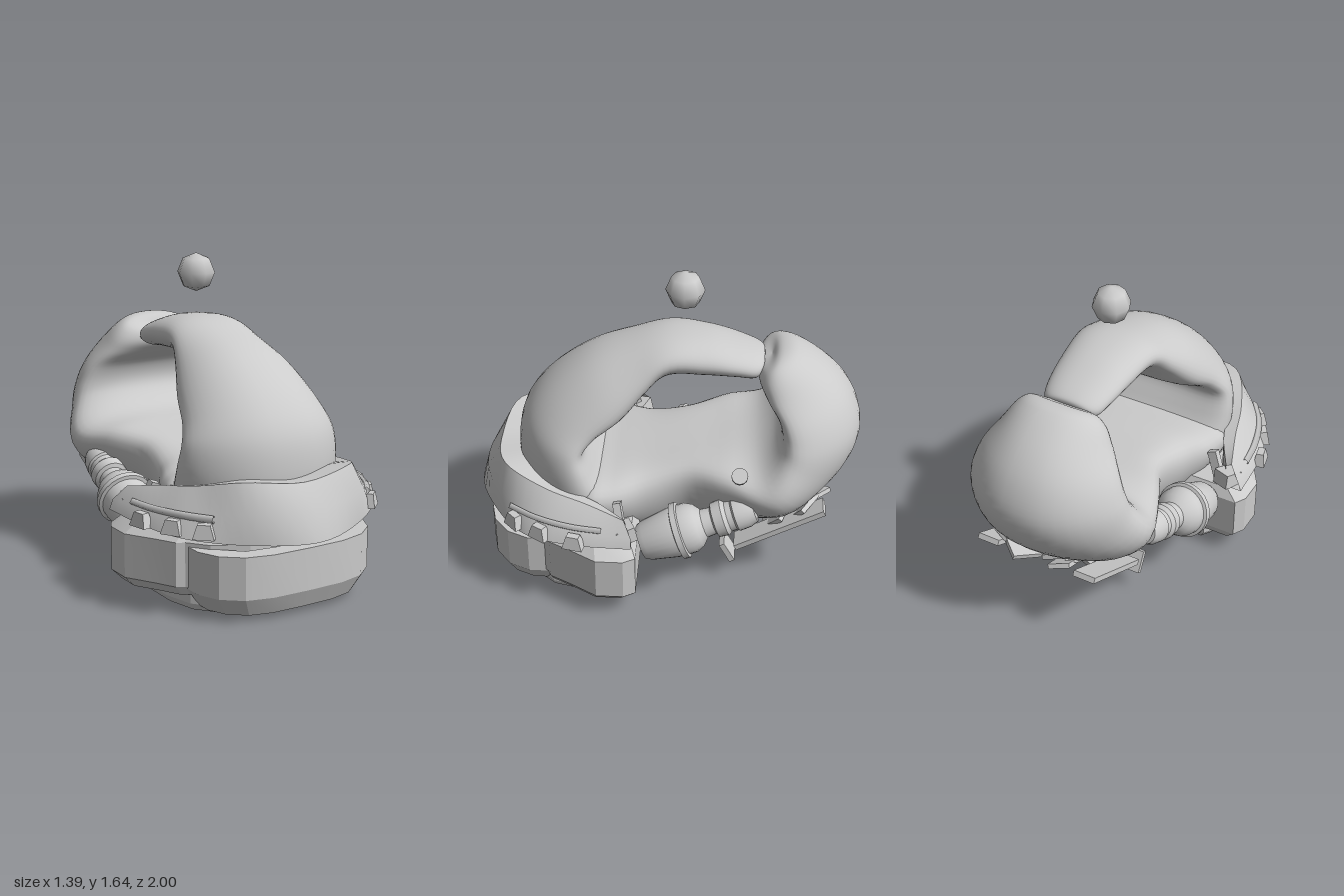
import * as THREE from 'three';
import { toCreasedNormals } from 'three/addons/utils/BufferGeometryUtils.js';

const grey = new THREE.MeshStandardMaterial({ color: 0xcccccc, side: THREE.DoubleSide });
const V = (x, y, z) => new THREE.Vector3(x, y, z);

export function createModel() {
  const model = new THREE.Group();
  const add = (name, geo, x = 0, y = 0, z = 0, rx = 0, ry = 0, rz = 0) => {
    const m = new THREE.Mesh(geo, grey);
    m.name = name;
    m.position.set(x, y, z);
    m.rotation.set(rx, ry, rz);
    model.add(m);
    return m;
  };

  // Surface through a grid of points; wrap closes each row into a loop
  const grid = (rows, wrap) => {
    const n = rows[0].length, idx = [];
    for (let i = 0; i < rows.length - 1; i++) {
      for (let j = 0; j < (wrap ? n : n - 1); j++) {
        const a = i * n + j, b = i * n + (j + 1) % n;
        idx.push(a, b, a + n, b, b + n, a + n);
      }
    }
    const g = new THREE.BufferGeometry().setFromPoints(rows.flat());
    g.setIndex(idx);
    g.computeVertexNormals();
    return g;
  };

  // Sweep of oval sections: [outer z, outer y, inner z, inner y, half width, bend]
  const sweep = (stations) => {
    const outer = new THREE.CatmullRomCurve3(stations.map(s => V(s[4], s[1], s[0])));
    const inner = new THREE.CatmullRomCurve3(stations.map(s => V(s[5], s[3], s[2])));
    const rows = [];
    for (let i = 0; i <= 64; i++) {
      const o = outer.getPoint(i / 64), n = inner.getPoint(i / 64);
      const w = o.x, bend = n.x;
      o.x = n.x = 0;
      const dir = n.clone().sub(o).normalize(), row = [];
      for (let j = 0; j < 40; j++) {
        const a = j / 40 * Math.PI * 2, s = Math.sin(a);
        const p = o.clone().lerp(n, (1 - Math.cos(a)) / 2).addScaledVector(dir, bend * s * s);
        p.x = w * Math.sign(s) * Math.pow(Math.abs(s), 0.9);
        row.push(p);
      }
      rows.push(row);
    }
    return grid(rows, true);
  };

  // Front dome that narrows into an arm arching backward
  add('frontDomeAndArm', sweep([
    [0.70, 0.32, 0.25, 0.32, 0.40, 0.05],
    [0.76, 0.50, 0.24, 0.50, 0.44, 0.08],
    [0.78, 0.68, 0.36, 0.68, 0.45, 0.11],
    [0.75, 0.86, 0.42, 0.80, 0.43, 0.12],
    [0.64, 1.02, 0.35, 0.87, 0.39, 0.10],
    [0.42, 1.19, 0.21, 0.94, 0.34, 0.07],
    [0.20, 1.28, 0.09, 1.07, 0.27, 0.04],
    [0.00, 1.33, 0.00, 1.13, 0.225, 0],
    [-0.20, 1.32, -0.20, 1.13, 0.20, 0],
    [-0.35, 1.28, -0.35, 1.12, 0.18, 0],
    [-0.46, 1.24, -0.45, 1.11, 0.15, 0],
    [-0.49, 1.22, -0.48, 1.14, 0.11, 0],
    [-0.49, 1.18, -0.49, 1.18, 0.0, 0]]));

  // Lower body: a shallow trough that runs back and curls up behind the arm
  add('rearBody', sweep([
    [0.52, 0.40, 0.52, 0.45, 0.02, 0],
    [0.42, 0.28, 0.40, 0.63, 0.45, 0.08],
    [0.26, 0.20, 0.26, 0.65, 0.44, 0.10],
    [0.08, 0.15, 0.10, 0.67, 0.365, 0.12],
    [-0.15, 0.20, -0.10, 0.70, 0.335, 0.14],
    [-0.42, 0.26, -0.30, 0.73, 0.43, 0.13],
    [-0.70, 0.40, -0.47, 0.77, 0.51, 0.05],
    [-0.93, 0.62, -0.57, 0.85, 0.45, 0.10],
    [-1.00, 0.82, -0.59, 0.91, 0.415, 0.12],
    [-0.95, 1.00, -0.57, 0.99, 0.37, 0.11],
    [-0.83, 1.15, -0.50, 1.07, 0.30, 0.08],
    [-0.66, 1.26, -0.46, 1.13, 0.235, 0.03],
    [-0.58, 1.26, -0.47, 1.18, 0.17, 0],
    [-0.53, 1.21, -0.53, 1.21, 0, 0]]));

  // Collar hood: mirrored rows, each running from centre front to the rear end
  const collarRows = [
    [[0, 0.40, 0.84], [0.3, 0.41, 0.76], [0.5, 0.42, 0.58], [0.57, 0.43, 0.4], [0.6, 0.44, 0.15]],
    [[0, 0.39, 1.0], [0.34, 0.40, 0.87], [0.56, 0.42, 0.69], [0.64, 0.43, 0.45], [0.67, 0.44, 0.15]],
    [[0, 0.54, 0.96], [0.33, 0.55, 0.87], [0.52, 0.53, 0.66], [0.61, 0.50, 0.45], [0.65, 0.49, 0.15]],
    [[0, 0.66, 0.88], [0.31, 0.69, 0.82], [0.45, 0.64, 0.6], [0.52, 0.60, 0.38], [0.59, 0.56, 0.19]],
    [[0, 0.65, 0.78], [0.25, 0.67, 0.72], [0.39, 0.62, 0.54], [0.47, 0.58, 0.34], [0.56, 0.54, 0.19]],
    [[0, 0.42, 0.76], [0.25, 0.42, 0.70], [0.40, 0.42, 0.5], [0.48, 0.42, 0.32], [0.58, 0.43, 0.16]]];
  const collar = collarRows.map(r => {
    const half = r.map(p => V(...p));
    const other = half.slice(1).map(p => V(-p.x, p.y, p.z)).reverse();
    return new THREE.CatmullRomCurve3([...other, ...half]).getPoints(40);
  });
  add('collarHood', toCreasedNormals(grid(collar), 0.6));

  // Flat slabs cut from a mirrored plan of [x, z] points; the chosen end can taper
  const plan = (half) => new THREE.Shape([...half,
    ...half.filter(p => p[0] > 0).map(p => [-p[0], p[1]]).reverse()].map(p => new THREE.Vector2(...p)));
  const slab = (name, shape, y0, y1, taperY = y0, taper = 1, cz = 0.45) => {
    const g = new THREE.ExtrudeGeometry(shape, { depth: y1 - y0, bevelEnabled: false, curveSegments: 24 });
    g.rotateX(Math.PI / 2).translate(0, y1, 0);
    const p = g.attributes.position;
    for (let i = 0; i < p.count; i++) {
      if (Math.abs(p.getY(i) - taperY) < 0.001) {
        p.setX(i, p.getX(i) * taper);
        p.setZ(i, cz + (p.getZ(i) - cz) * taper);
      }
    }
    g.computeVertexNormals();
    add(name, toCreasedNormals(g, 0.35));
  };
  const ringPlan = (half, rx, rz) => {
    const s = plan(half), hole = new THREE.Path();
    hole.absellipse(0, 0.46, rx, rz, 0, Math.PI * 2);
    s.holes.push(hole);
    return s;
  };

  // Faceted base with side blocks, chamfered above and below
  const base = [[0, 0.82], [0.25, 0.79], [0.42, 0.7], [0.5, 0.6], [0.54, 0.58], [0.60, 0.47],
    [0.685, 0.33], [0.685, 0.19], [0.65, 0.13], [0, 0.13]];
  const baseRing = ringPlan(base, 0.43, 0.29);
  slab('baseBottomChamfer', baseRing, 0.09, 0.14, 0.09, 0.93);
  slab('baseRing', baseRing, 0.14, 0.365);
  slab('baseTopChamfer', baseRing, 0.365, 0.42, 0.42, 0.9);
  slab('neckFloor', plan([[0, 0.77], [0.3, 0.7], [0.46, 0.45], [0.3, 0.16], [0, 0.15]]), 0.2, 0.25);

  // Rounded bottom plate around the neck opening
  const foot = [[0, 0.8], [0.2, 0.775], [0.36, 0.7], [0.46, 0.58], [0.5, 0.42], [0.5, 0.22], [0.46, 0.16], [0, 0.15]];
  const footRing = ringPlan(foot, 0.42, 0.28);
  slab('bottomPlate', footRing, 0.04, 0.10);
  slab('bottomPlateEdge', footRing, 0.005, 0.04, 0.005, 0.96);

  // Thin front bumper with its lower chamfer
  const bumper = [[0, 0.93], [0.2, 0.925], [0.34, 0.89], [0.44, 0.81], [0.49, 0.7],
    [0.49, 0.6], [0.43, 0.6], [0.4, 0.71], [0.29, 0.81], [0, 0.85]];
  slab('frontBumper', plan(bumper), 0.13, 0.345);
  slab('frontBumperChamfer', plan(bumper), 0.035, 0.13, 0.035, 0.87, 0.6);

  // Louvres under the body
  for (let i = 0; i < 6; i++) {
    add('louvre', new THREE.BoxGeometry(0.46, 0.06, 0.03), 0, 0.17 + i * 0.015, 0.06 - i * 0.065, 0.5);
  }

  // Canister outline, from the blunt front end to the rear neck
  const canister = toCreasedNormals(new THREE.LatheGeometry([[0, 0], [0.09, 0], [0.105, 0.03], [0.13, 0.17],
    [0.13, 0.19], [0.148, 0.195], [0.148, 0.225], [0.132, 0.23], [0.13, 0.27], [0.11, 0.31], [0.075, 0.34],
    [0.07, 0.39], [0.09, 0.4], [0.095, 0.45], [0.08, 0.47], [0.08, 0.5], [0.09, 0.51], [0.085, 0.57],
    [0.07, 0.61], [0, 0.62]].map(p => new THREE.Vector2(...p)), 24), 0.6);

  for (const s of [1, -1]) {
    // Canister slanting up toward the rear
    const c = add('canister', canister, s * 0.475, 0.335, 0.11);
    c.quaternion.setFromUnitVectors(V(0, 1, 0), V(s * -0.06, 0.2, -0.58).normalize());

    // Row of tapered clips under a rail along the collar edge
    for (const [x, z, a] of [[0.49, 0.76, 0.75], [0.58, 0.62, 1.0], [0.65, 0.44, 1.35]]) {
      const clip = new THREE.CylinderGeometry(0.045, 0.075, 0.07, 4).rotateY(Math.PI / 4).scale(1, 1, 0.6);
      add('collarClip', clip.toNonIndexed(), s * x, 0.465, z, 0, s * a).geometry.computeVertexNormals();
    }
    add('collarRail', new THREE.TubeGeometry(new THREE.CatmullRomCurve3([V(s * 0.45, 0.52, 0.78),
      V(s * 0.54, 0.52, 0.64), V(s * 0.60, 0.515, 0.46), V(s * 0.62, 0.51, 0.3)]), 12, 0.02, 4));

    // Brackets at the rear ends of the collar
    add('collarBracket', new THREE.BoxGeometry(0.1, 0.08, 0.1), s * 0.57, 0.47, 0.19, 0.2, s * 0.4);
    add('collarBracket', new THREE.BoxGeometry(0.05, 0.16, 0.04), s * 0.49, 0.5, 0.22, 0.2, 0, s * 0.4);

    // Hose along the underside
    add('hose', new THREE.TubeGeometry(new THREE.CatmullRomCurve3([V(s * 0.29, 0.22, 0.16), V(s * 0.28, 0.24, 0),
      V(s * 0.26, 0.27, -0.2), V(s * 0.28, 0.36, -0.36)]), 20, 0.035, 10));
  }

  // Broken plates scattered along the rear underside
  let seed = 7;
  const rnd = () => (seed = (seed * 16807) % 2147483647) / 2147483647;
  for (let i = 0; i < 20; i++) {
    const t = i / 19;
    add('brokenPlate', new THREE.BoxGeometry(0.07 + rnd() * 0.08, 0.025, 0.1 + rnd() * 0.1),
      (rnd() - 0.5) * 0.5, 0.21 + t * 0.2 + rnd() * 0.03, -0.36 - t * 0.4,
      0.3 + rnd() * 0.8, (rnd() - 0.5) * 1.6, (rnd() - 0.5) * 0.8);
  }
  for (const s of [1, -1]) {
    add('longPlate', new THREE.BoxGeometry(0.12, 0.03, 0.52), s * 0.28, 0.33, -0.6, 0.5);
    add('plateTip', new THREE.BoxGeometry(0.12, 0.12, 0.03), s * 0.28, 0.17, -0.33, 0.5);
  }

  // Side button and floating ball
  add('sideButton', new THREE.CylinderGeometry(0.042, 0.042, 0.035, 12), 0.45, 0.755, -0.385, 0, 0, -0.8);
  add('floatingBall', new THREE.SphereGeometry(0.1, 8, 4), -0.02, 1.55, -0.085);
  return model;
}
